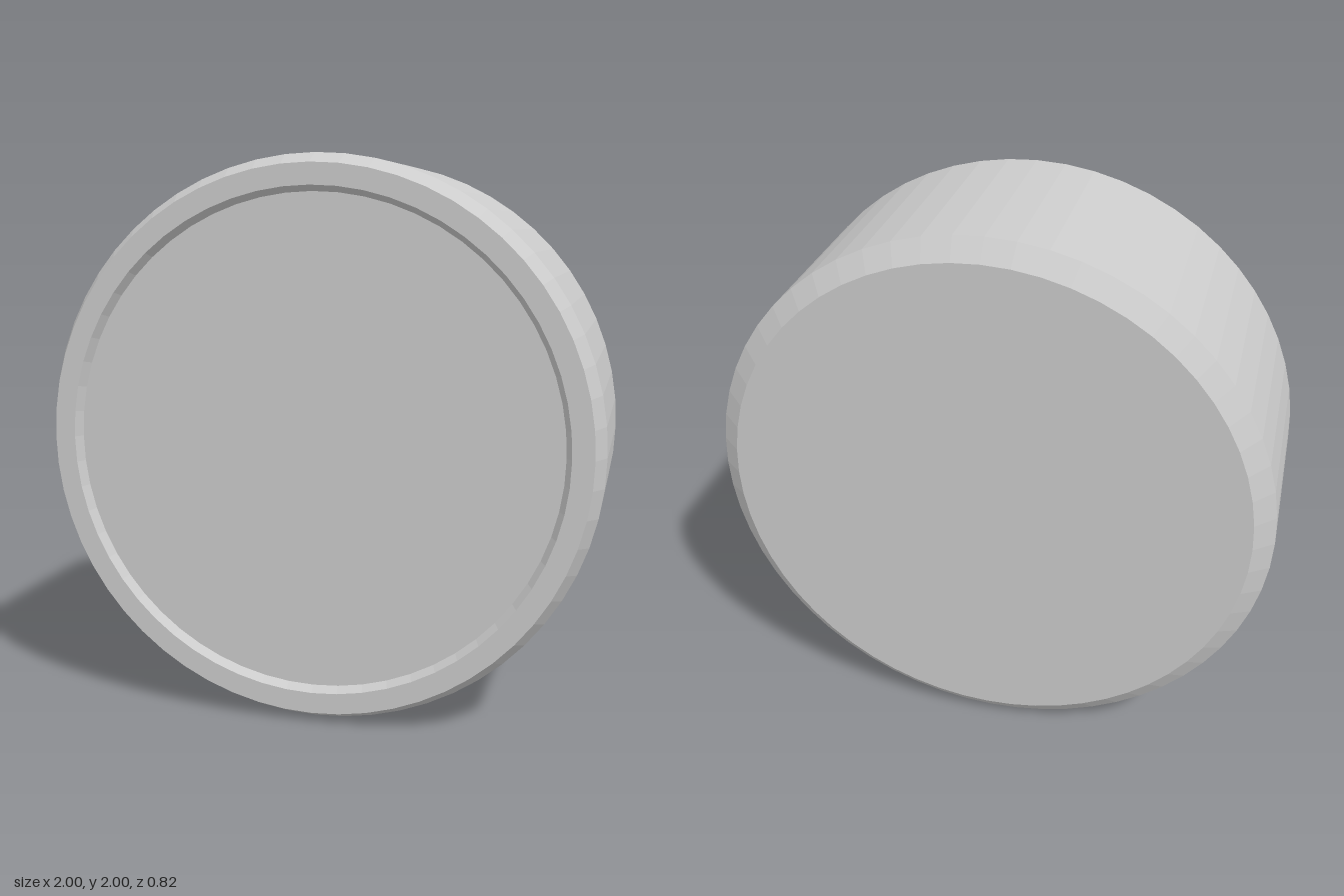
import * as THREE from 'three';

const SEGMENTS = 60;

export function createModel() {
  const model = new THREE.Group();
  const material = new THREE.MeshStandardMaterial({ color: 0xcccccc, flatShading: true });

  // Revolves [radius, z] pairs, listed from back to front, around the z axis
  const addTurned = (name, profile) => {
    const points = profile.map(([r, z]) => new THREE.Vector2(r, z));
    const geometry = new THREE.LatheGeometry(points, SEGMENTS).rotateX(Math.PI / 2);
    const mesh = new THREE.Mesh(geometry, material);
    mesh.name = name;
    mesh.position.y = 1;
    model.add(mesh);
  };

  // Drum: flat back, wide back bevel, straight side, narrow front bevel, front rim
  addTurned('body', [
    [0, -0.41], [0.93, -0.41], [1, -0.355], [1, 0.34], [0.965, 0.41], [0.89, 0.41],
  ]);

  // Shallow tapered recess and its flat floor
  addTurned('frontRecess', [[0.89, 0.41], [0.87, 0.38], [0, 0.38]]);

  return model;
}
